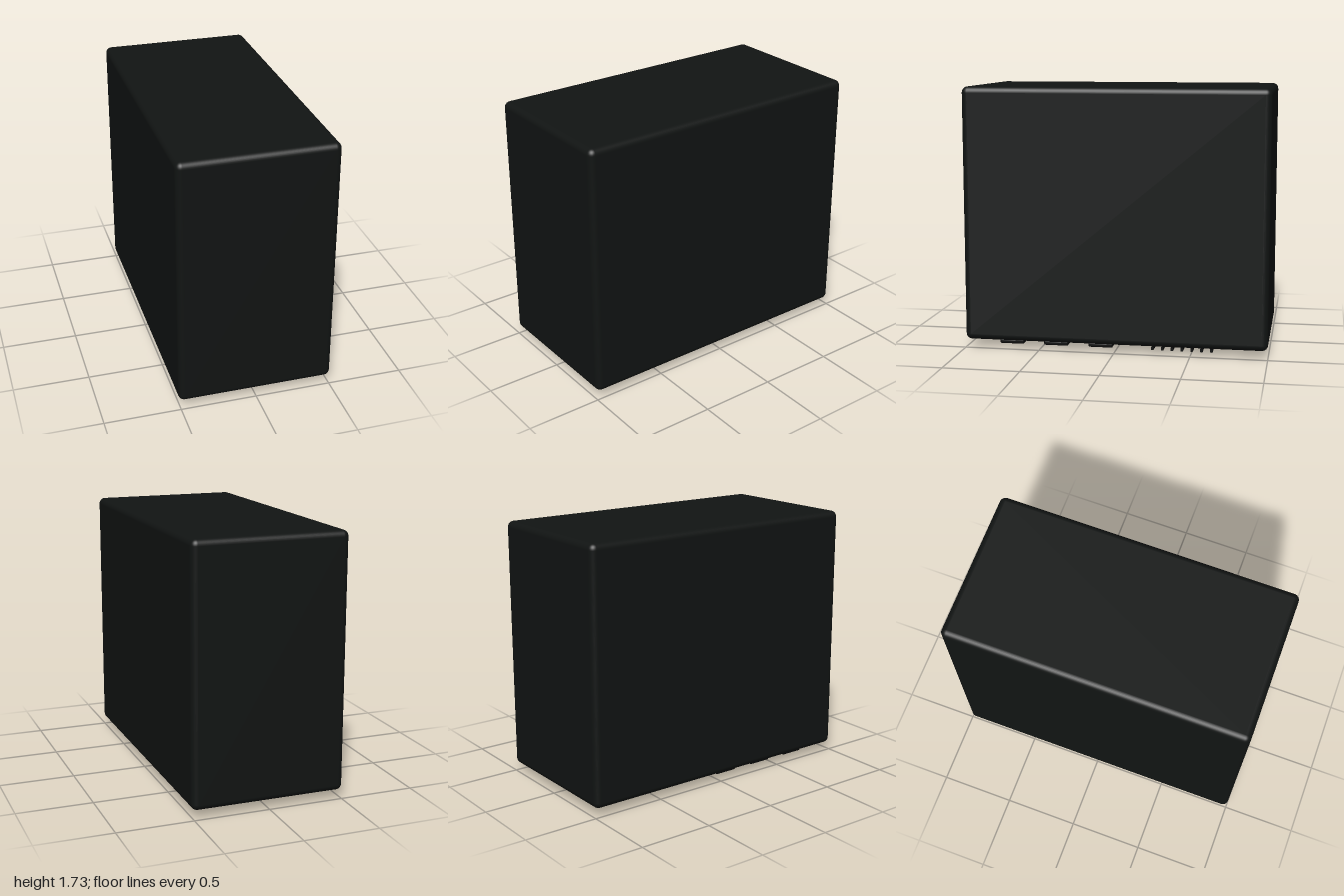
import * as THREE from 'three';
import { RoundedBoxGeometry } from 'three/addons/geometries/RoundedBoxGeometry.js';

export function createModel() {
  const model = new THREE.Group();
  const shellMaterial = new THREE.MeshStandardMaterial({ color: 0x111413 });
  const trimMaterial = new THREE.MeshStandardMaterial({ color: 0x080909 });

  function add(name, geometry, material, y, z) {
    const mesh = new THREE.Mesh(geometry, material);
    mesh.name = name;
    mesh.position.set(0, y, z);
    model.add(mesh);
  }

  // Main casing with softly rounded edges
  add('casing', new RoundedBoxGeometry(1.02, 1.675, 2, 4, 0.04), shellMaterial, 0.8925, 0);

  // Three wide pads under the front half
  const pad = new RoundedBoxGeometry(0.87, 0.029, 0.164, 3, 0.01);
  for (let i = 0; i < 3; i++) {
    add(`footPad${i + 1}`, pad, trimMaterial, 0.0345, 0.7 - i * 0.3);
  }

  // Seven thin vent slats under the rear half
  const slat = new THREE.BoxGeometry(0.74, 0.02, 0.016);
  for (let i = 0; i < 7; i++) {
    add(`ventSlat${i + 1}`, slat, trimMaterial, 0.01, -0.237 - i * 0.065);
  }

  return model;
}
